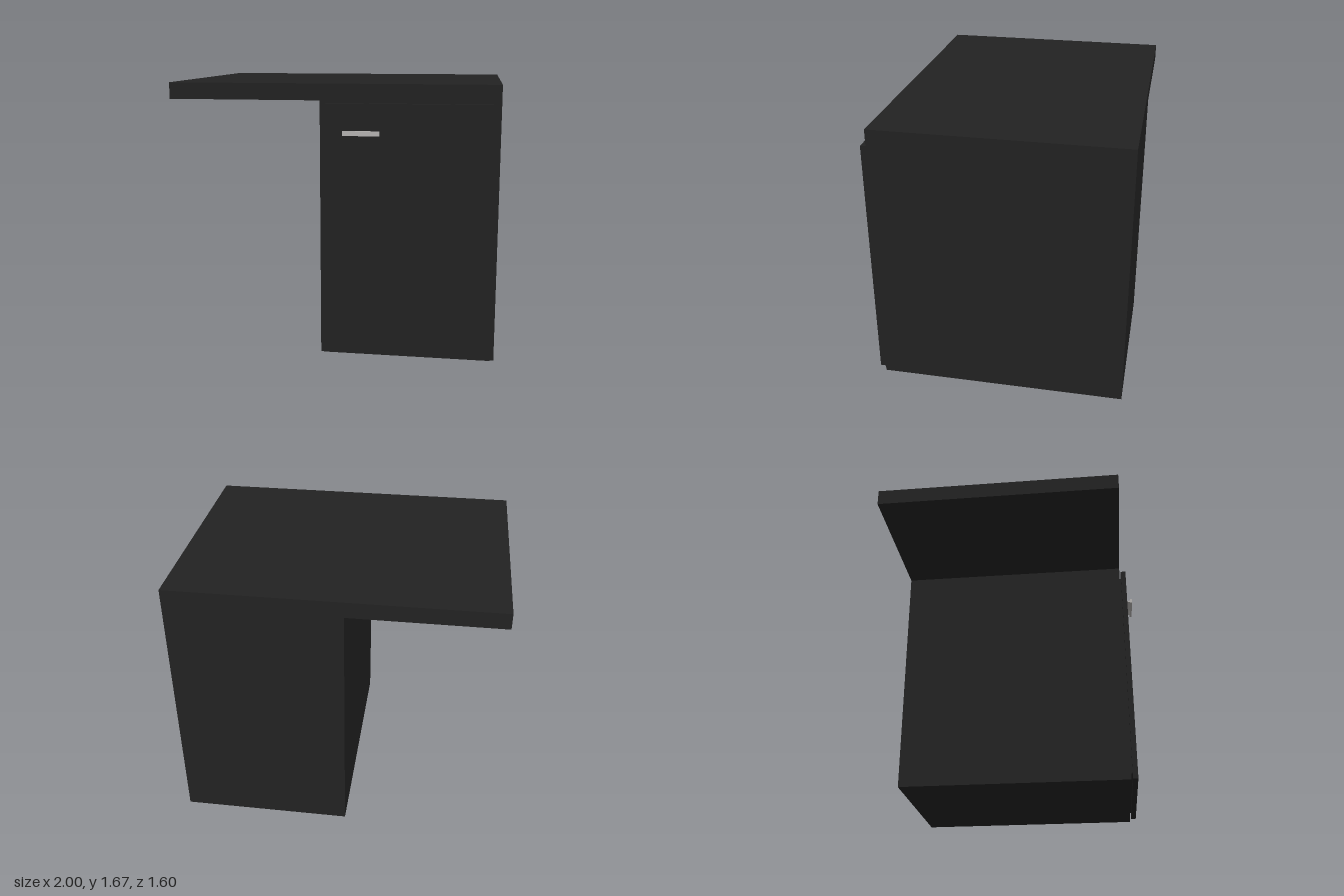
import * as THREE from 'three';

export function createModel() {
  const model = new THREE.Group();
  const charcoal = new THREE.MeshStandardMaterial({ color: 0x222222 });
  charcoal.name = 'charcoal';
  const metal = new THREE.MeshStandardMaterial({ color: 0xb5b3b1 });
  metal.name = 'brushed metal';

  // Box given by its low and high corner
  function box(name, material, [x0, y0, z0], [x1, y1, z1], parent = model) {
    const mesh = new THREE.Mesh(new THREE.BoxGeometry(x1 - x0, y1 - y0, z1 - z0), material);
    mesh.position.set((x0 + x1) / 2, (y0 + y1) / 2, (z0 + z1) / 2);
    mesh.name = name;
    parent.add(mesh);
  }

  // Worktop overhanging to one side of the cabinet
  box('worktop', charcoal, [-1, 1.57, -0.8], [1, 1.67, 0.718]);
  box('cabinetBody', charcoal, [-0.068, 0, -0.8], [1, 1.57, 0.718]);

  // Door with a recessed seal behind it
  box('doorSeal', charcoal, [-0.015, 0.055, 0.718], [0.945, 1.513, 0.728]);
  box('door', charcoal, [-0.043, 0.014, 0.728], [0.975, 1.557, 0.762]);

  // Handle: thin stem and a front grip
  const handle = new THREE.Group();
  handle.name = 'doorHandle';
  box('handleStem', metal, [0.09, 1.379, 0.762], [0.286, 1.391, 0.786], handle);
  box('handleGrip', metal, [0.079, 1.37, 0.786], [0.299, 1.399, 0.8], handle);
  model.add(handle);

  return model;
}
